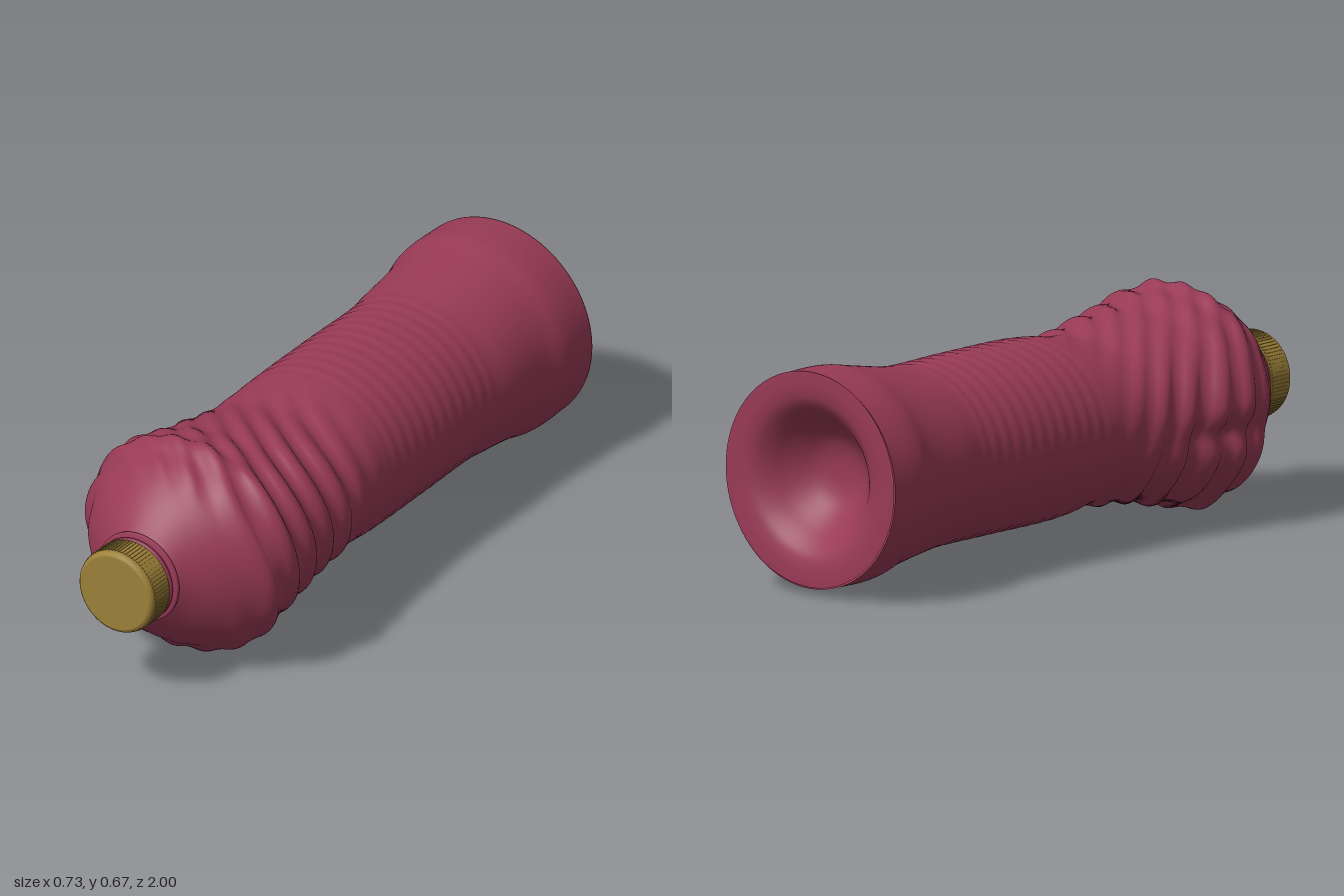
import * as THREE from 'three';

const CX = 0.005, CY = 0.34; // long axis of the bottle
const plastic = new THREE.MeshStandardMaterial({ color: 0x983a56, side: THREE.DoubleSide });
const capColor = new THREE.MeshStandardMaterial({ color: 0x9c8038 });

// Outline along the axis: z, upper y, lower y, +x side, -x side
const OUTLINE = [
  [-1.00, 0.655, 0.020, 0.320, -0.315],
  [-0.87, 0.655, 0.020, 0.320, -0.315],
  [-0.80, 0.642, 0.035, 0.305, -0.296],
  [-0.62, 0.610, 0.062, 0.295, -0.283],
  [-0.56, 0.604, 0.067, 0.288, -0.275],
  [-0.30, 0.604, 0.068, 0.290, -0.275],
  [0.00, 0.598, 0.070, 0.292, -0.276],
  [0.12, 0.582, 0.088, 0.300, -0.285],
  [0.18, 0.576, 0.078, 0.306, -0.297],
  [0.30, 0.597, 0.070, 0.315, -0.312],
  [0.38, 0.610, 0.060, 0.322, -0.327],
  [0.45, 0.618, 0.042, 0.334, -0.352],
  [0.52, 0.640, 0.038, 0.346, -0.360],
  [0.57, 0.648, 0.022, 0.350, -0.352],
  [0.62, 0.666, 0.002, 0.355, -0.338],
  [0.67, 0.640, 0.022, 0.348, -0.312],
  [0.72, 0.615, 0.055, 0.308, -0.280],
  [0.79, 0.562, 0.115, 0.228, -0.215],
  [0.84, 0.508, 0.172, 0.165, -0.155],
  [0.875, 0.462, 0.218, 0.127, -0.117],
];
const outline = new THREE.CubicInterpolant(
  OUTLINE.map(r => r[0]), OUTLINE.flatMap(r => r.slice(1)), 4, new Float32Array(4));

const smooth = THREE.MathUtils.smoothstep;
const bump = (d, w) => Math.exp(-(d * d) / (w * w));

// Radial change from the slanted crumple folds, the pinch and the fine grip rings
function relief(z, a) {
  const v = z - 0.27 * Math.cos(a - 0.3) + 0.02 * Math.sin(3 * a + 1);
  const zone = smooth(z, -0.02, 0.35) * (1 - smooth(z, 0.68, 0.78));
  const wave = Math.sin(v * 58 + 0.8 * Math.sin(2 * a + z * 5));
  const folds = 0.011 * zone * (0.65 + 0.35 * Math.sin(2 * a + 0.6))
    * (wave > 0 ? wave : -Math.pow(-wave, 0.7) * 1.1);
  // soft creases running over the shoulder
  const shoulder = -0.012 * bump(z - 0.72 - 0.03 * Math.sin(2 * a), 0.022) * Math.max(0, -Math.cos(a - 0.7));
  const pinch = -0.035 * bump(a - Math.PI - 0.2, 0.16) * bump(z - 0.5, 0.16);
  const rings = 0.0012 * Math.sin(z * 125) * smooth(z, -0.58, -0.52) * (1 - smooth(z, -0.05, 0.05));
  return folds + shoulder + pinch + rings;
}

// Closed rings of points joined into one smooth skin
function createBody() {
  const RINGS = 300, SIDES = 144, z0 = -1, z1 = 0.875;
  const pos = [], index = [];
  for (let i = 0; i <= RINGS; i++) {
    const z = z0 + (z1 - z0) * i / RINGS;
    const [top, bottom, right, left] = outline.evaluate(z);
    for (let j = 0; j < SIDES; j++) {
      const a = j / SIDES * Math.PI * 2, c = Math.cos(a), s = Math.sin(a);
      const d = relief(z, a);
      pos.push(
        CX + c * ((c > 0 ? right - CX : CX - left) + d),
        CY + s * ((s > 0 ? top - CY : CY - bottom) + d), z);
      if (i < RINGS) {
        const k = (j + 1) % SIDES, p = i * SIDES + j, q = i * SIDES + k;
        index.push(p, q, p + SIDES, q, q + SIDES, p + SIDES);
      }
    }
  }
  const g = new THREE.BufferGeometry();
  g.setAttribute('position', new THREE.Float32BufferAttribute(pos, 3));
  g.setIndex(index);
  g.computeVertexNormals();
  return g;
}

// Lathe profile of [radius, z] turned about the long axis
function turned(name, profile, material, sides = 96) {
  const g = new THREE.LatheGeometry(profile.map(([r, z]) => new THREE.Vector2(r, z)), sides);
  g.rotateX(Math.PI / 2);
  const m = new THREE.Mesh(g, material);
  m.name = name;
  m.position.set(CX, CY, 0);
  return m;
}

export function createModel() {
  const bottle = new THREE.Group();
  bottle.name = 'crumpledBottle';

  const body = new THREE.Mesh(createBody(), plastic);
  body.name = 'body';
  bottle.add(body);

  // Hollow dished base with a flat rim
  const dish = new THREE.SplineCurve([
    [0, -0.85], [0.05, -0.853], [0.10, -0.872], [0.15, -0.915], [0.19, -0.96],
    [0.225, -0.988], [0.26, -0.998], [0.29, -1], [0.3165, -1],
  ].map(p => new THREE.Vector2(...p))).getPoints(40).map(p => [p.x, p.y]);
  bottle.add(turned('base', dish, plastic));

  // Neck with support ring and tamper band
  bottle.add(turned('neck', [[0.124, 0.85], [0.122, 0.91], [0, 0.91]], plastic));
  bottle.add(turned('neckRing', [
    [0.118, 0.868], [0.135, 0.87], [0.139, 0.874], [0.139, 0.879], [0.135, 0.883], [0.118, 0.885],
  ], plastic));
  bottle.add(turned('tamperBand', [[0.118, 0.89], [0.128, 0.891], [0.128, 0.903], [0.118, 0.904]], plastic));

  // Screw cap with rounded edge and grip ribs
  const cap = new THREE.Group();
  cap.name = 'cap';
  cap.add(turned('capShell', [
    [0, 0.906], [0.127, 0.906], [0.127, 0.906], [0.128, 0.91], [0.128, 0.985],
    [0.126, 0.993], [0.121, 0.998], [0.115, 1], [0.115, 1], [0, 1],
  ], capColor));
  const ribGeometry = new THREE.BoxGeometry(0.005, 0.006, 0.07);
  for (let i = 0; i < 72; i++) {
    const a = i / 72 * Math.PI * 2;
    const rib = new THREE.Mesh(ribGeometry, capColor);
    rib.name = 'capRib';
    rib.position.set(CX + 0.1275 * Math.cos(a), CY + 0.1275 * Math.sin(a), 0.947);
    rib.rotation.z = a;
    cap.add(rib);
  }
  bottle.add(cap);
  return bottle;
}
